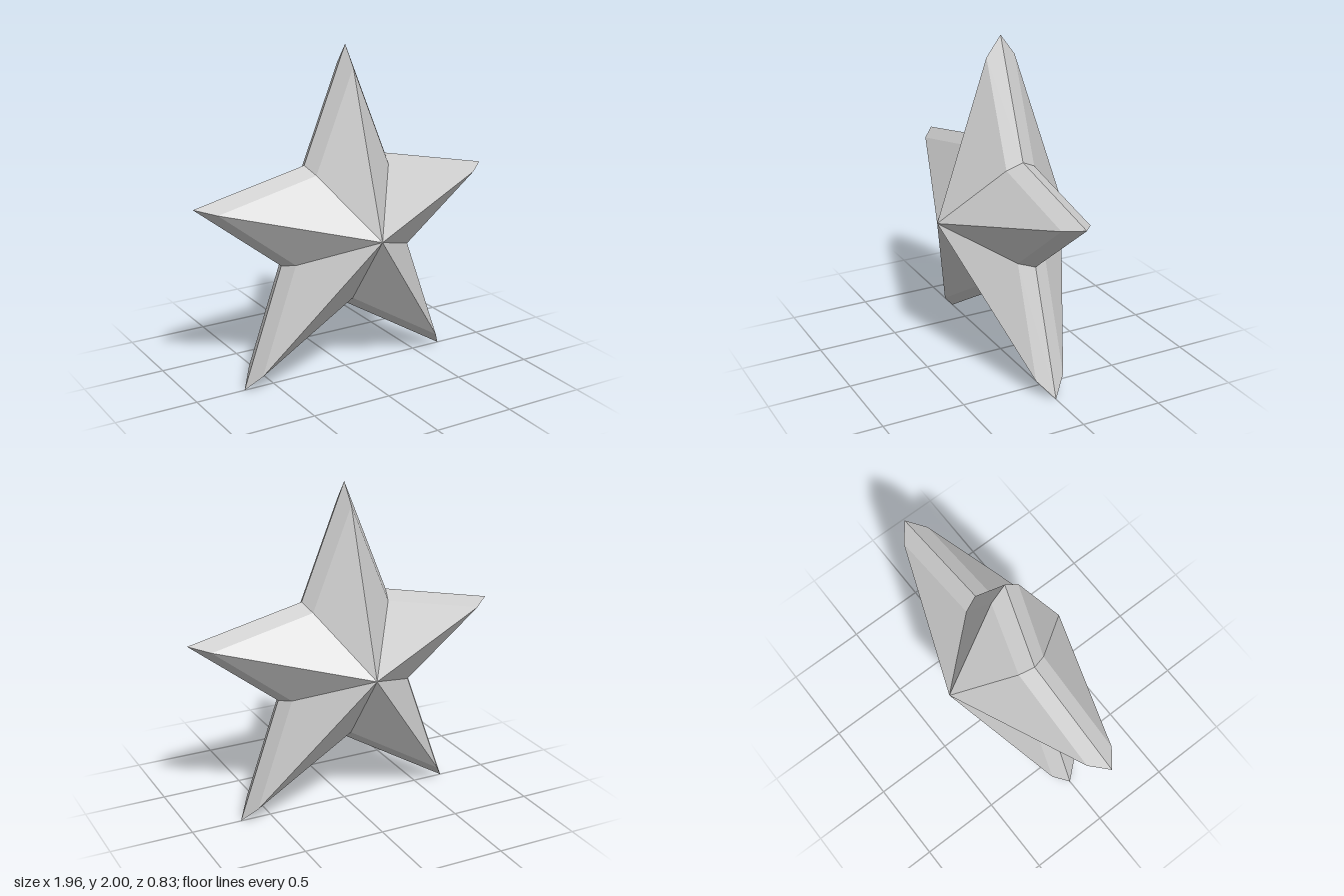
import * as THREE from 'three';

const CENTRE_Y = 0.925;

// right half of the star outline, from the top tip round to the bottom notch
const half = [[0, 2], [0.275, 1.32], [0.98, 1.165], [0.434, 0.734], [0.692, 0], [0, 0.42]];
const mirrored = half.slice(1, -1).reverse().map(([x, y]) => [-x, y]);
const outline = [...half, ...mirrored];

// cross-sections from front to back: [z, outline scale]; scale 0 is the apex
const sections = [[0.416, 0], [0.09, 0.888], [0, 1], [-0.09, 0.888], [-0.416, 0]];

function starGeometry() {
  const n = outline.length;
  const point = (s, i) => {
    const [z, k] = sections[s];
    const [x, y] = outline[i % n];
    return [x * k, CENTRE_Y + (y - CENTRE_Y) * k, z];
  };
  const positions = [];
  for (let s = 0; s < sections.length - 1; s++) {
    for (let i = 0; i < n; i++) {
      const a = point(s, i), b = point(s, i + 1);
      const c = point(s + 1, i), d = point(s + 1, i + 1);
      // skip the triangle that collapses at an apex
      if (sections[s + 1][1] > 0) positions.push(...a, ...d, ...c);
      if (sections[s][1] > 0) positions.push(...a, ...b, ...d);
    }
  }
  const geometry = new THREE.BufferGeometry();
  geometry.setAttribute('position', new THREE.Float32BufferAttribute(positions, 3));
  geometry.computeVertexNormals();
  return geometry;
}

export function createModel() {
  const group = new THREE.Group();
  group.name = 'fivePointedStar';
  const material = new THREE.MeshStandardMaterial({ color: 0xcccccc, flatShading: true });
  const star = new THREE.Mesh(starGeometry(), material);
  star.name = 'starBody';
  group.add(star);
  return group;
}
